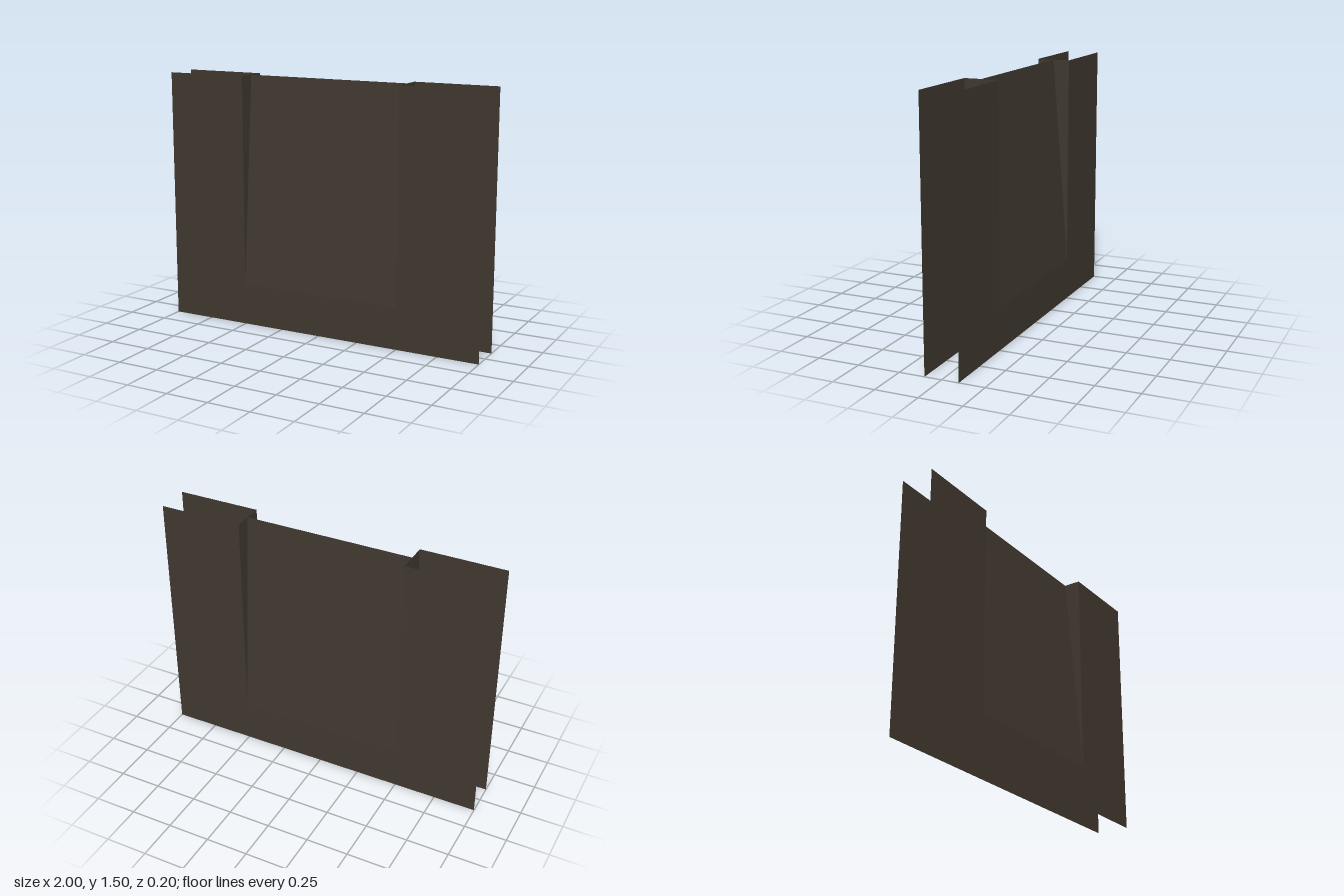
import * as THREE from 'three';

const W = 1, H = 1.5, D = 0.1;      // half width, height, half depth
const PW = 0.5, PY = 0.25;          // pleat half width and its lower fold line

const cloth = new THREE.MeshStandardMaterial({ color: 0x40382f, side: THREE.DoubleSide });
cloth.name = 'darkBrown';

// flat polygon from its corners, counter-clockwise seen from outside
function panel(name, ...corners) {
  const geo = new THREE.BufferGeometry();
  const pos = [];
  for (let i = 1; i < corners.length - 1; i++) pos.push(...corners[0], ...corners[i], ...corners[i + 1]);
  geo.setAttribute('position', new THREE.Float32BufferAttribute(pos, 3));
  geo.computeVertexNormals();
  const mesh = new THREE.Mesh(geo, cloth);
  mesh.name = name;
  return mesh;
}

// one sheet: a U-shaped face whose centre folds inward towards the top
function sheet(name) {
  const g = new THREE.Group();
  g.name = name;
  const u = new THREE.Shape([
    [-W, 0], [W, 0], [W, H], [PW, H], [PW, PY], [-PW, PY], [-PW, H], [-W, H],
  ].map(([x, y]) => new THREE.Vector2(x, y)));
  const face = new THREE.Mesh(new THREE.ShapeGeometry(u), cloth);
  face.name = 'face';
  face.position.z = D;
  g.add(face);
  // sloping centre, meeting the other sheet at the top edge
  g.add(panel('slopedCentre', [-PW, PY, D], [PW, PY, D], [PW, H, 0], [-PW, H, 0]));
  // triangular cheeks on both sides of the slope
  g.add(panel('rightCheek', [-PW, PY, D], [-PW, H, 0], [-PW, H, D]));
  g.add(panel('leftCheek', [PW, PY, D], [PW, H, D], [PW, H, 0]));
  return g;
}

export function createModel() {
  const model = new THREE.Group();
  model.name = 'pleatedPanel';
  const back = sheet('backSheet');
  back.rotation.y = Math.PI;
  model.add(sheet('frontSheet'), back);
  return model;
}
